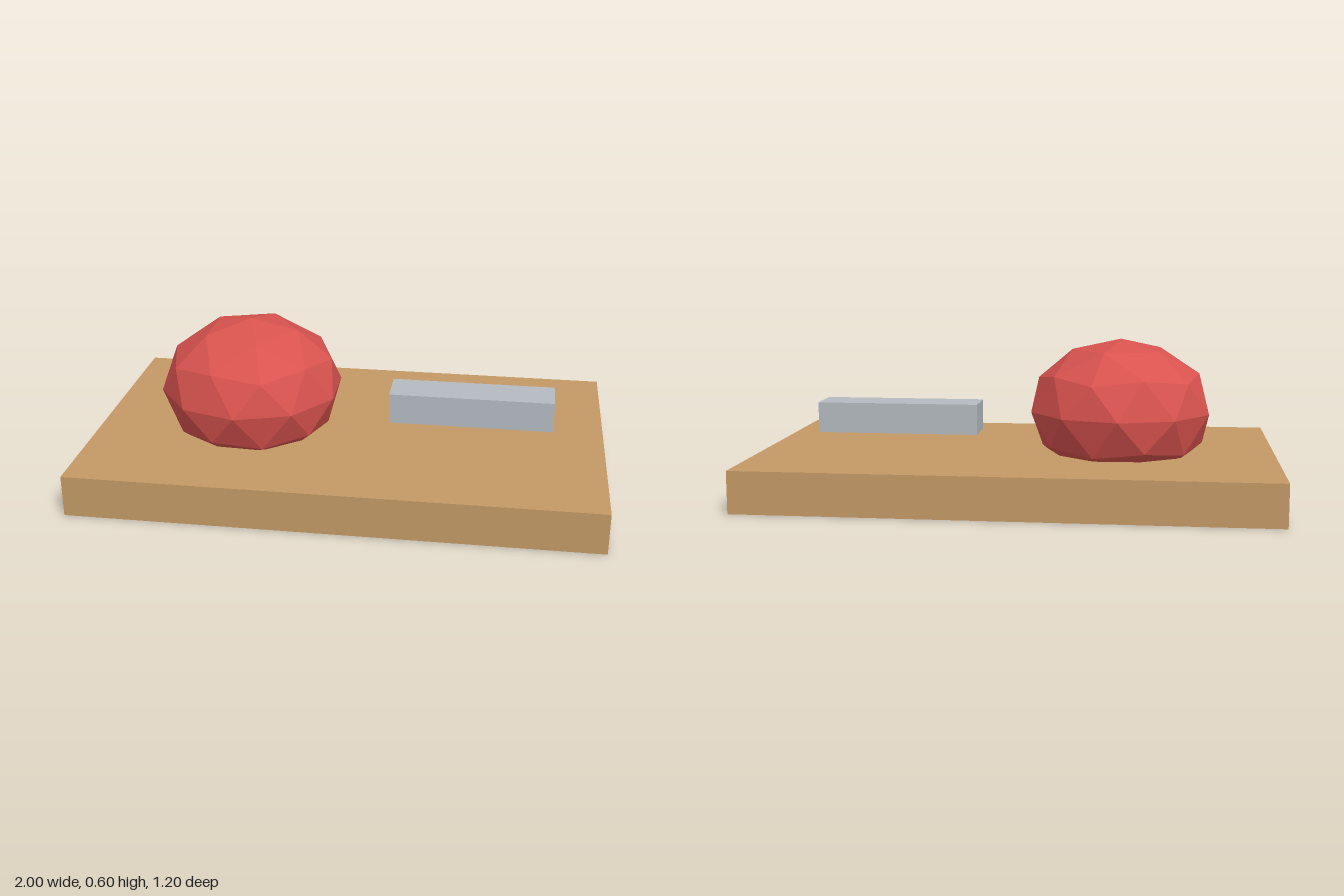
import * as THREE from 'three';

const flat = (name, color) => {
  const m = new THREE.MeshStandardMaterial({ color, flatShading: true });
  m.name = name;
  return m;
};

export function createModel() {
  const group = new THREE.Group();
  group.name = 'boardWithBallAndBar';

  const add = (name, geometry, material, x, y, z) => {
    const mesh = new THREE.Mesh(geometry, material);
    mesh.name = name;
    mesh.position.set(x, y, z);
    group.add(mesh);
  };

  // Base board
  add('board', new THREE.BoxGeometry(2, 0.16, 1.2), flat('wood', 0xc49a66), 0, 0.08, 0);

  // Faceted ball: turned to stand on a corner, squashed, and sunk into the board
  const ball = new THREE.IcosahedronGeometry(0.36, 1);
  ball.rotateZ(-Math.atan(2 / (1 + Math.sqrt(5))));
  ball.scale(1, 0.28 / 0.36, 1);
  ball.computeVertexNormals();
  add('ball', ball, flat('red', 0xd9534f), -0.4, 0.32, 0);

  // Bar floating just above the board
  add('bar', new THREE.BoxGeometry(0.64, 0.12, 0.16), flat('metal', 0xb4bbc1), 0.48, 0.28, 0);

  return group;
}
